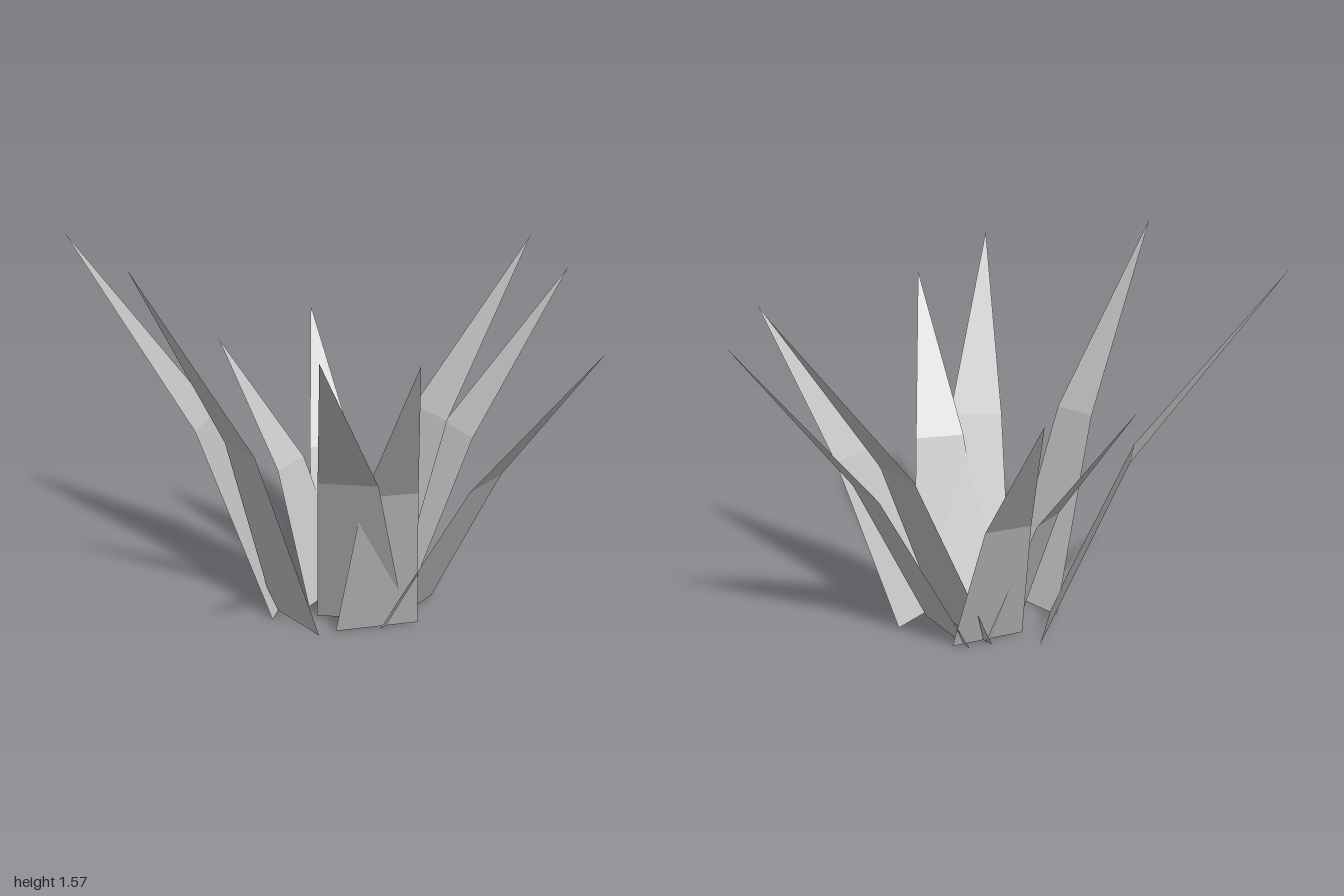
import * as THREE from 'three';

// Each blade: its two base corners on the ground [x, z], the centre of its bend and its tip
const BLADES = [
  { name: 'frontBlade', a: [-0.19, 0.33], b: [0.12, 0.315], bend: [-0.025, 0.81, 0.565], tip: [-0.01, 1.57, 0.99] },
  { name: 'frontLeftBlade', a: [-0.02, 0.225], b: [0.235, -0.03], bend: [0.365, 0.745, 0.35], tip: [0.86, 1.43, 0.82] },
  { name: 'leftBlade', a: [0.13, 0.24], b: [0.27, -0.067], bend: [0.4, 0.67, 0.178], tip: [0.78, 1.31, 0.36] },
  { name: 'backLeftBlade', a: [0.225, 0.09], b: [0.13, -0.255], bend: [0.485, 0.645, -0.215], tip: [0.89, 1.24, -0.4] },
  { name: 'outerBackBlade', a: [0.145, -0.1], b: [-0.2, -0.15], bend: [0.028, 0.665, -0.475], tip: [0.11, 1.3, -0.99] },
  { name: 'innerBackBlade', a: [0.13, -0.05], b: [-0.23, -0.06], bend: [-0.045, 0.74, -0.38], tip: [-0.04, 1.42, -0.91] },
  { name: 'backRightBlade', a: [-0.14, -0.19], b: [-0.22, 0.11], bend: [-0.385, 0.555, -0.115], tip: [-0.73, 1.07, -0.26] },
  { name: 'rightBlade', a: [-0.2, -0.07], b: [-0.1, 0.21], bend: [-0.36, 0.53, 0.11], tip: [-0.69, 1.02, 0.24] },
  { name: 'frontRightBlade', a: [-0.35, 0.09], b: [-0.1, 0.39], bend: [-0.475, 0.76, 0.445], tip: [-0.895, 1.51, 0.8] },
];
const BEND_WIDTH = 0.62; // width at the bend relative to the base

// A tapered lower panel and a pointed upper panel, folded at the bend
function bladeGeometry({ a, b, bend, tip }) {
  const baseA = new THREE.Vector3(a[0], 0, a[1]);
  const baseB = new THREE.Vector3(b[0], 0, b[1]);
  const half = baseB.clone().sub(baseA).multiplyScalar(BEND_WIDTH / 2);
  const middle = new THREE.Vector3(...bend);
  const points = [
    baseA, baseB,
    middle.clone().sub(half), middle.clone().add(half),
    new THREE.Vector3(...tip),
  ];
  const indexed = new THREE.BufferGeometry().setFromPoints(points);
  indexed.setIndex([0, 1, 3, 0, 3, 2, 2, 3, 4]);
  const geometry = indexed.toNonIndexed();
  geometry.computeVertexNormals();
  return geometry;
}

export function createModel() {
  const plant = new THREE.Group();
  plant.name = 'bladedPlant';
  const grey = new THREE.MeshStandardMaterial({ color: 0xc4c4c4, flatShading: true, side: THREE.DoubleSide });
  grey.name = 'light grey';

  // Ring of leaf blades leaning outwards
  for (const blade of BLADES) {
    const mesh = new THREE.Mesh(bladeGeometry(blade), grey);
    mesh.name = blade.name;
    plant.add(mesh);
  }
  return plant;
}
